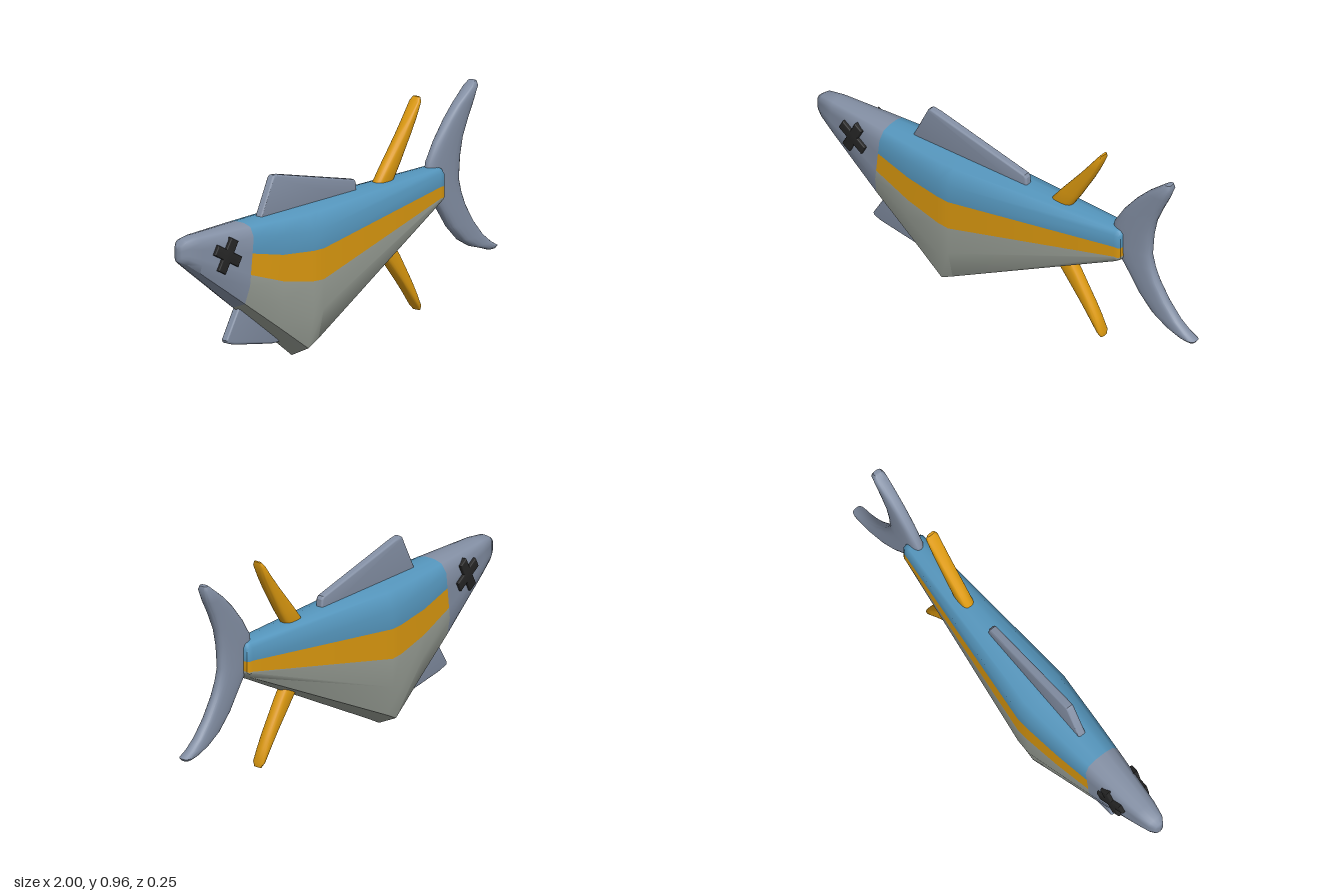
import * as THREE from 'three';
import { toCreasedNormals } from 'three/addons/utils/BufferGeometryUtils.js';

const paint = (name, color) => {
  const m = new THREE.MeshStandardMaterial({ color });
  m.name = name;
  return m;
};

// Fin lofted over rows of [y, left x, right x], with a rounded-box cross-section
function loftFin(rows, halfDepth) {
  const last = rows.length - 1;
  const g = new THREE.CylinderGeometry(1, 1, 1, 20, last);
  const p = g.attributes.position;
  const round = v => Math.sign(v) * Math.pow(Math.abs(v), 0.65);
  for (let i = 0; i < p.count; i++) {
    const r = Math.round((0.5 - p.getY(i)) * last);
    const [y, l, rt] = rows[r];
    const depth = halfDepth * (r === 0 || r === last ? 0.65 : 1);
    p.setXYZ(i, (l + rt) / 2 + round(p.getX(i)) * (rt - l) / 2, y, round(p.getZ(i)) * depth);
  }
  return toCreasedNormals(g, 0.8);
}

// Bevelled plate cut from an outline in the xy plane, centred on z = 0
function plate(outline, halfDepth, bevel) {
  const shape = new THREE.Shape(outline.map(([x, y]) => new THREE.Vector2(x, y)));
  const depth = 2 * (halfDepth - bevel);
  const g = new THREE.ExtrudeGeometry(shape, {
    depth, bevelThickness: bevel, bevelSize: bevel, bevelOffset: -bevel, bevelSegments: 3,
  });
  return toCreasedNormals(g.translate(0, 0, -depth / 2), 0.6);
}

// Body stations: x, top y, bottom y, half width, stripe top and bottom (fractions of height), slant
const STATIONS = [
  [-1.0, 0.60, 0.55, 0, 0.32, 0.57, 0],
  [-0.995, 0.615, 0.54, 0.02, 0.32, 0.57, 0],
  [-0.97, 0.633, 0.522, 0.036, 0.32, 0.57, 0],
  [-0.9, 0.64, 0.47, 0.05, 0.32, 0.57, 0],
  [-0.61, 0.64, 0.28, 0.085, 0.33, 0.58, -0.04],
  [-0.45, 0.64, 0.133, 0.104, 0.306, 0.53, 0],
  [-0.28, 0.64, 0.003, 0.121, 0.265, 0.47, 0],
  [-0.22, 0.64, 0.037, 0.125, 0.28, 0.50, 0],
  [0.6, 0.64, 0.47, 0.052, 0.47, 0.76, 0],
  [0.62, 0.637, 0.485, 0.05, 0.51, 0.83, 0],
  [0.63, 0.625, 0.505, 0.045, 0.53, 0.9, 0],
  [0.632, 0.625, 0.505, 0, 0.53, 0.9, 0],
];
const HEAD_SPANS = 4;

function bodyGeometry() {
  const pos = [], n = 16;
  for (const [x, top, bottom, w, sa, sb, slant] of STATIONS) {
    const low = Math.max(0.71, sb + 0.04);
    const half = [[0, 0], [0.3, 0], [0.74, 0.03], [1, 0.14], [1, sa], [1, sb],
      [1, low], [0.76, Math.max(0.93, low + 0.03)], [0, 1]];
    const ring = [...half, ...half.slice(1, 8).reverse().map(([z, f]) => [-z, f])];
    for (const [z, f] of ring) pos.push(x + slant * f, top - (top - bottom) * f, z * w);
  }
  // Sort faces by colour: 0 back, 1 stripe, 2 belly, 3 head
  const faces = [[], [], [], []];
  for (let s = 0; s < STATIONS.length - 1; s++) {
    for (let i = 0; i < n; i++) {
      const band = i < 8 ? i : 15 - i;
      const slot = s < HEAD_SPANS ? 3 : band < 4 ? 0 : band === 4 ? 1 : 2;
      const a = s * n + i, b = s * n + (i + 1) % n;
      faces[slot].push(a, b, a + n, b, b + n, a + n);
    }
  }
  const g = new THREE.BufferGeometry();
  g.setAttribute('position', new THREE.Float32BufferAttribute(pos, 3));
  g.setIndex(faces.flat());
  let start = 0;
  faces.forEach((f, slot) => {
    g.addGroup(start, f.length, slot);
    start += f.length;
  });
  return toCreasedNormals(g, 0.9);
}

export function createModel() {
  const blue = paint('back blue', 0x5596bd);
  const orange = paint('fin orange', 0xdd9a10);
  const grey = paint('belly grey', 0x9aa097);
  const slate = paint('slate', 0x8490a5);
  const black = paint('eye black', 0x262626);

  const model = new THREE.Group();
  model.name = 'fish';
  const add = (name, geometry, material) => {
    const mesh = new THREE.Mesh(geometry, material);
    mesh.name = name;
    model.add(mesh);
    return mesh;
  };

  add('body', bodyGeometry(), [blue, orange, grey, slate]);

  // Forked tail
  add('tailFin', loftFin([
    [0.96, 0.845, 0.868], [0.94, 0.82, 0.873], [0.88, 0.745, 0.85], [0.82, 0.685, 0.82],
    [0.74, 0.62, 0.785], [0.66, 0.57, 0.768], [0.56, 0.56, 0.76], [0.50, 0.6, 0.775],
    [0.44, 0.645, 0.80], [0.36, 0.70, 0.85], [0.29, 0.77, 0.91], [0.25, 0.84, 0.96],
    [0.228, 0.91, 0.998], [0.217, 0.94, 0.99],
  ], 0.028), slate);

  // Swept orange fins, the lower one turned over
  const sickle = loftFin([
    [0.96, 0.5, 0.511], [0.94, 0.483, 0.511], [0.88, 0.437, 0.486], [0.82, 0.39, 0.455],
    [0.70, 0.29, 0.385], [0.64, 0.243, 0.345], [0.58, 0.22, 0.31],
  ], 0.028);
  add('upperSickleFin', sickle, orange);
  const lower = add('lowerSickleFin', sickle, orange);
  lower.rotation.x = Math.PI;
  lower.position.y = 1.005;

  // Thin slate fins
  add('dorsalFin', plate([
    [-0.51, 0.6], [-0.415, 0.795], [-0.405, 0.802], [-0.37, 0.798], [0.098, 0.685],
    [0.108, 0.672], [0.112, 0.6],
  ], 0.018, 0.009), slate);
  add('bellyFin', plate([
    [-0.58, 0.36], [-0.705, 0.15], [-0.70, 0.138], [-0.66, 0.124], [-0.42, 0.082],
    [-0.33, 0.08], [-0.33, 0.2],
  ], 0.018, 0.009), slate);

  // Cross-shaped eyes
  const l = 0.075, w = 0.023;
  const quarter = [[w, w], [w, l], [-w, l]];
  const cross = [0, 1, 2, 3].flatMap(k => quarter.map(([x, y]) =>
    k === 0 ? [x, y] : k === 1 ? [-y, x] : k === 2 ? [-x, -y] : [y, -x]));
  const eye = plate(cross, 0.016, 0.006).rotateZ(-0.5);
  for (const side of [1, -1]) {
    const mesh = add(side > 0 ? 'leftEye' : 'rightEye', eye, black);
    mesh.position.set(-0.765, 0.537, side * 0.066);
    mesh.rotation.y = -side * 0.11;
  }
  return model;
}
